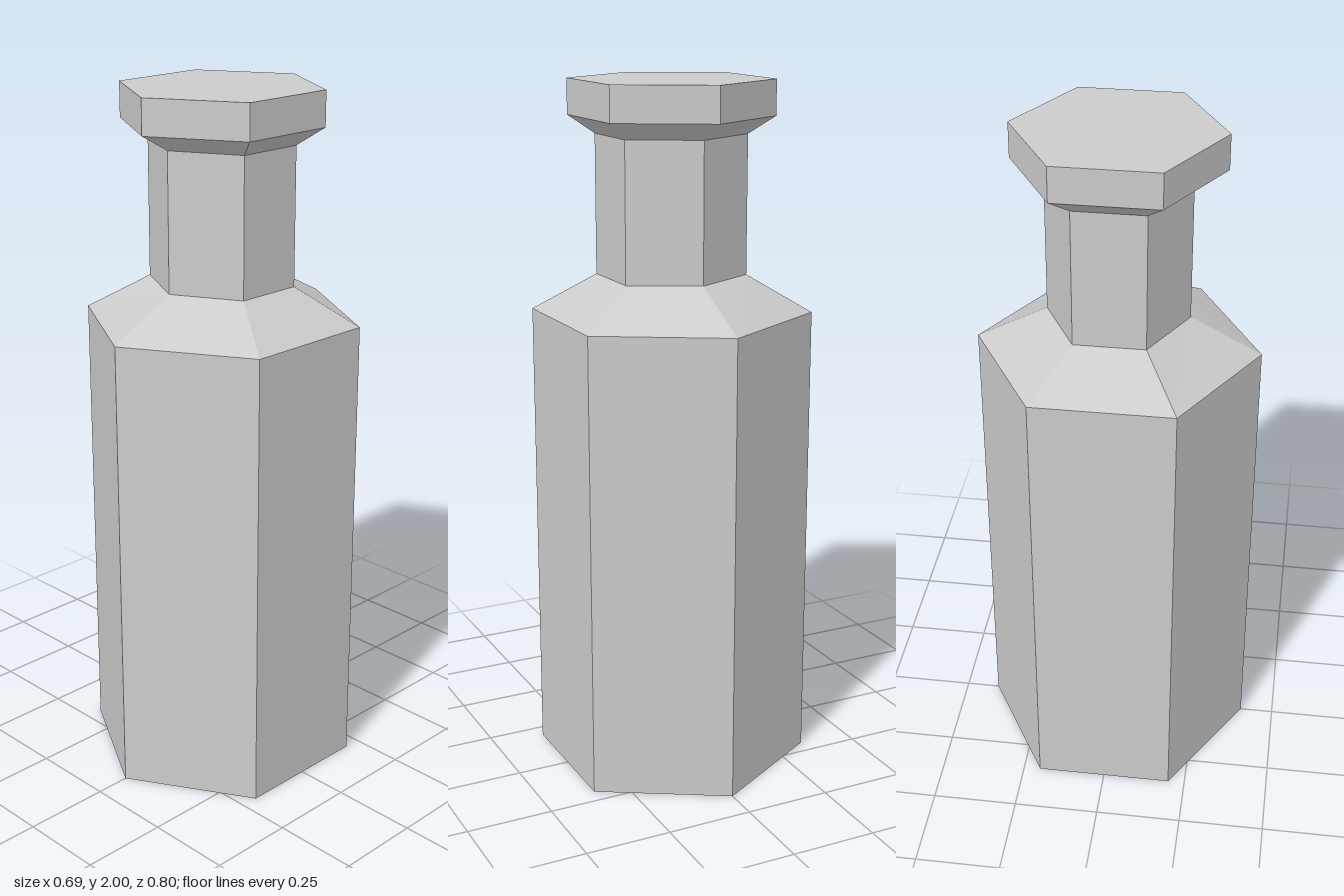
import * as THREE from 'three';

const SIDES = 6;

// Hexagonal rings from bottom to top: height, corner radius, widening along x
const base = { y: 0, r: 0.4, sx: 1 };
const shoulderBottom = { y: 1.35, r: 0.4, sx: 1 };
const neckBottom = { y: 1.455, r: 0.2, sx: 1.085 };
const neckTop = { y: 1.85, r: 0.2, sx: 1.085 };
const lipBottom = { y: 1.9, r: 0.29, sx: 1 };
const lipTop = { y: 2, r: 0.29, sx: 1 };

// Open hexagonal section joining two rings
function section(name, lower, upper, material) {
  const height = upper.y - lower.y;
  const geometry = new THREE.CylinderGeometry(upper.r, lower.r, height, SIDES, 1, true);
  const pos = geometry.attributes.position;
  for (let i = 0; i < pos.count; i++) {
    pos.setX(i, pos.getX(i) * (pos.getY(i) > 0 ? upper.sx : lower.sx));
  }
  geometry.translate(0, lower.y + height / 2, 0);
  geometry.computeVertexNormals();
  const mesh = new THREE.Mesh(geometry, material);
  mesh.name = name;
  return mesh;
}

// Flat hexagon closing one end, facing up or down
function cap(name, ring, facing, material) {
  const geometry = new THREE.CircleGeometry(ring.r, SIDES, Math.PI / 2);
  geometry.rotateX(-facing * Math.PI / 2);
  geometry.translate(0, ring.y, 0);
  const mesh = new THREE.Mesh(geometry, material);
  mesh.name = name;
  return mesh;
}

export function createModel() {
  const bottle = new THREE.Group();
  bottle.name = 'bottle';
  const material = new THREE.MeshStandardMaterial({ color: 0xcccccc, flatShading: true });

  bottle.add(
    cap('bottom', base, -1, material),
    section('body', base, shoulderBottom, material),
    section('shoulder', shoulderBottom, neckBottom, material),
    section('neck', neckBottom, neckTop, material),
    section('lipUnderside', neckTop, lipBottom, material),
    section('lip', lipBottom, lipTop, material),
    cap('lipTop', lipTop, 1, material),
  );
  return bottle;
}
